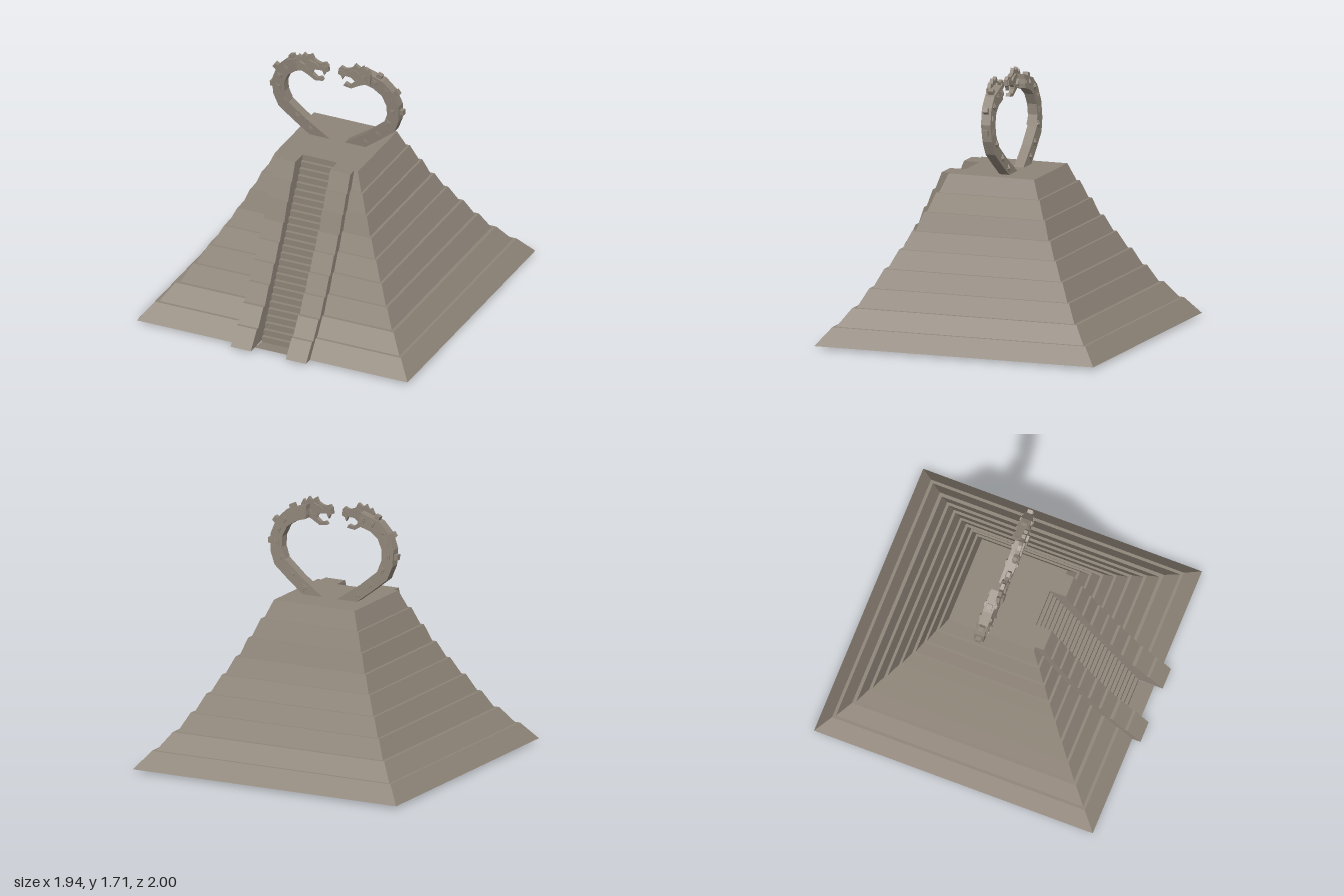
import * as THREE from 'three';

const stone = new THREE.MeshStandardMaterial({ color: 0x8f8579, side: THREE.DoubleSide });
stone.name = 'weatheredStone';

const CZ = -0.03;       // centre of the pyramid in z
const TOP = 1.08;       // plateau height
const IN = 0.125;       // half width of the stairway
const OUT = 0.27;       // outer side of the balustrades
const PROUD = 0.058;    // how far the balustrades stand out
const STEPS = 27;

// Half width at the bottom and top of each tier, with tier heights
const bottoms = [0.97, 0.86, 0.757, 0.677, 0.602, 0.53, 0.462, 0.405, 0.345];
const tops = [0.88, 0.78, 0.695, 0.62, 0.545, 0.48, 0.42, 0.36, 0.297];
const levels = [0.015, 0.13, 0.245, 0.365, 0.485, 0.605, 0.72, 0.84, 0.96, TOP];
const profile = [];
bottoms.forEach((b, i) => profile.push([b, levels[i]], [tops[i], levels[i + 1]]));

const stairZ = (y) => 0.83 - (0.64 * y) / TOP;

// Collects four-cornered faces into one flat-shaded mesh
function quadMesh(name, build) {
  const pos = [];
  build((a, b, c, d) => pos.push(...a, ...b, ...c, ...a, ...c, ...d));
  const g = new THREE.BufferGeometry();
  g.setAttribute('position', new THREE.Float32BufferAttribute(pos, 3));
  g.computeVertexNormals();
  return mesh(name, g);
}

function mesh(name, geometry) {
  const m = new THREE.Mesh(geometry, stone);
  m.name = name;
  return m;
}

function eachStrip(fn) {
  for (let i = 0; i < profile.length - 1; i++) fn(...profile[i], ...profile[i + 1]);
}

// Stepped walls, open underneath, with a gap in front for the stairway
function makeTiers() {
  return quadMesh('pyramidTiers', (q) => eachStrip((h, y, k, v) => {
    const f = CZ + h, g = CZ + k, b = CZ - h, c = CZ - k;
    q([h, y, b], [-h, y, b], [-k, v, c], [k, v, c]);
    q([h, y, f], [h, y, b], [k, v, c], [k, v, g]);
    q([-h, y, b], [-h, y, f], [-k, v, g], [-k, v, c]);
    q([OUT, y, f], [h, y, f], [k, v, g], [OUT, v, g]);
    q([-h, y, f], [-OUT, y, f], [-OUT, v, g], [-k, v, g]);
  }));
}

// Flat top with the stair notch cut into its front edge
function makePlateau() {
  return quadMesh('plateau', (q) => {
    const h = tops[8], f = CZ + h, b = CZ - h, n = stairZ(TOP);
    const rect = (x0, x1, z0, z1) => q([x0, TOP, z1], [x1, TOP, z1], [x1, TOP, z0], [x0, TOP, z0]);
    rect(-h, h, b, n);
    rect(-h, -IN, n, f);
    rect(IN, h, n, f);
    rect(-OUT, -IN, f, f + PROUD);
    rect(IN, OUT, f, f + PROUD);
  });
}

// Balustrade following the tiers, with walls on both sides
function makeBalustrade(name, s) {
  return quadMesh(name, (q) => {
    const face = (a, b, c, d) => (s > 0 ? q(a, b, c, d) : q(d, c, b, a));
    eachStrip((h, y, k, v) => {
      const f = CZ + h, g = CZ + k, i = s * IN, o = s * OUT;
      face([i, y, f + PROUD], [o, y, f + PROUD], [o, v, g + PROUD], [i, v, g + PROUD]);
      face([o, y, f + PROUD], [o, y, f], [o, v, g], [o, v, g + PROUD]);
      face([i, y, stairZ(y)], [i, y, f + PROUD], [i, v, g + PROUD], [i, v, stairZ(v)]);
    });
  });
}

// Recessed flight of steps and the slightly tilted landing
function makeStairs() {
  return quadMesh('stairway', (q) => {
    for (let i = 0; i < STEPS; i++) {
      const y = (TOP * i) / STEPS, v = (TOP * (i + 1)) / STEPS;
      const z = stairZ(y), w = stairZ(v);
      q([-IN, y, z], [IN, y, z], [IN, v, z], [-IN, v, z]);
      q([-IN, v, z], [IN, v, z], [IN, v, w], [-IN, v, w]);
    }
    q([-IN, 0.015, 0.94], [IN, 0.015, 0.94], [IN, 0, 0.83], [-IN, 0, 0.83]);
  });
}

// Plate cut from an outline, given for the +x side and mirrored by s
function plate(name, points, s, z, depth) {
  const shape = new THREE.Shape(points.map(([x, y]) => new THREE.Vector2(s * x, y)));
  const g = new THREE.ExtrudeGeometry(shape, { depth, bevelEnabled: false });
  g.translate(0, 0, z - depth / 2);
  return mesh(name, g);
}

const outer = [[0.2, 1.08], [0.305, 1.16], [0.415, 1.25], [0.45, 1.34], [0.453, 1.45], [0.415, 1.55], [0.345, 1.62], [0.2, 1.668]];
const inner = [[0.2, 1.575], [0.275, 1.553], [0.335, 1.51], [0.367, 1.44], [0.367, 1.37], [0.34, 1.295], [0.22, 1.195], [0.055, 1.08]];
// Stud centres and turn angles along the body
const studs = [[0.195, 1.125, 0.65], [0.288, 1.205, 0.7], [0.37, 1.31, 0.95], [0.409, 1.4, 1.57], [0.4, 1.485, 1.85], [0.36, 1.555, 2.3], [0.285, 1.602, 2.75], [0.215, 1.618, 2.95]];
const spines = [[0.46, 1.4, 1.57], [0.43, 1.54, 2.15], [0.312, 1.64, 2.75]];
const skull = [[0.262, 1.58], [0.268, 1.655], [0.25, 1.69], [0.232, 1.672], [0.212, 1.71], [0.19, 1.69], [0.155, 1.713],
  [0.138, 1.682], [0.11, 1.667], [0.085, 1.662], [0.055, 1.675], [0.038, 1.655], [0.034, 1.615], [0.055, 1.605],
  [0.065, 1.58], [0.08, 1.612], [0.127, 1.608], [0.155, 1.585], [0.2, 1.575]];
const jaw = [[0.23, 1.6], [0.155, 1.6], [0.15, 1.575], [0.118, 1.55], [0.085, 1.56], [0.072, 1.538], [0.13, 1.53], [0.185, 1.562], [0.225, 1.58]];
const brow = [[0.19, 1.645], [0.17, 1.675], [0.12, 1.66], [0.1, 1.64], [0.14, 1.645]];
const cheek = [[0.25, 1.6], [0.235, 1.65], [0.2, 1.635], [0.18, 1.6], [0.21, 1.585]];
const snout = [[0.09, 1.625], [0.075, 1.652], [0.045, 1.65], [0.042, 1.622]];

function makeSerpent(name, s) {
  const group = new THREE.Group();
  group.name = name;
  // Body leans forward as it rises
  const lean = new THREE.Matrix4().set(1, 0, 0, 0, 0, 1, 0, 0, 0, 0.085, 1, -0.083 - 0.085 * TOP, 0, 0, 0, 1);
  const add = (m) => { m.geometry.applyMatrix4(lean); group.add(m); };
  add(plate('serpentBody', [...outer, ...inner], s, 0, 0.066));
  const block = (label, [x, y, a], w, h, d) => {
    const g = new THREE.BoxGeometry(w, h, d);
    g.rotateZ(s * a);
    g.translate(s * x, y, 0);
    add(mesh(label, g));
  };
  studs.forEach((p) => {
    block('bodyStud', p, 0.036, 0.036, 0.078);
    block('studCap', p, 0.02, 0.02, 0.088);
  });
  spines.forEach((p) => block('backSpine', p, 0.036, 0.036, 0.036));
  // Head built from layered plates
  group.add(plate('skull', skull, s, 0, 0.024));
  group.add(plate('lowerJaw', jaw, s, 0, 0.03));
  group.add(plate('brow', brow, s, 0, 0.05));
  group.add(plate('cheek', cheek, s, 0, 0.058));
  group.add(plate('snout', snout, s, 0, 0.04));
  return group;
}

export function createModel() {
  const model = new THREE.Group();
  model.name = 'steppedPyramid';
  model.add(makeTiers(), makePlateau(), makeStairs());
  model.add(makeBalustrade('leftBalustrade', 1), makeBalustrade('rightBalustrade', -1));
  model.add(makeSerpent('leftSerpent', 1), makeSerpent('rightSerpent', -1));
  return model;
}
